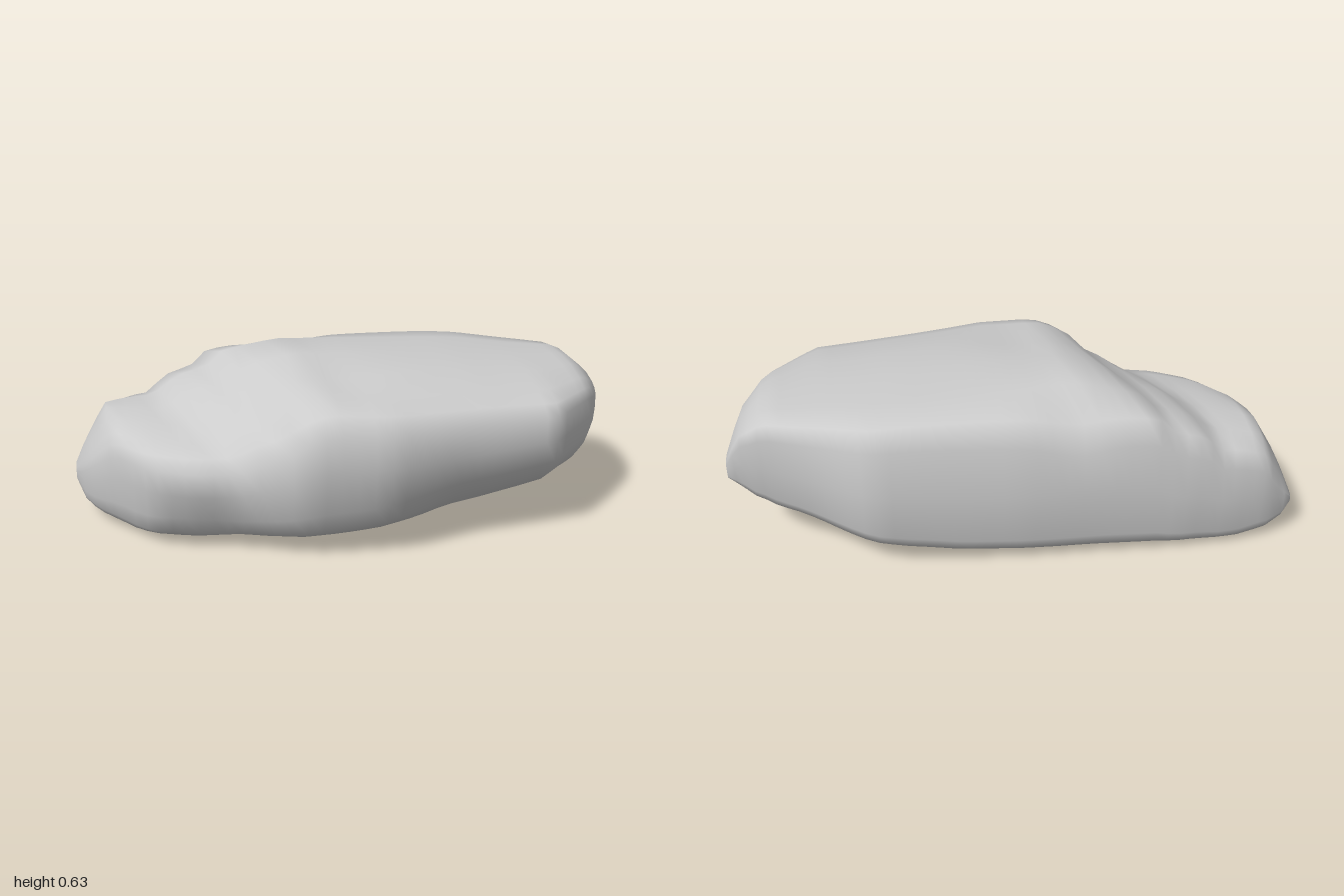
import * as THREE from 'three';

// Outline curves along the rock's length, as [x, value] pairs
const BACK = [[-1, -0.35], [-0.9, -0.4], [-0.75, -0.43], [-0.58, -0.45], [0, -0.46], [0.5, -0.44], [0.75, -0.34], [0.9, -0.27], [1, -0.2]];
const FRONT = [[-1, -0.24], [-0.96, -0.1], [-0.85, 0.05], [-0.74, 0.2], [-0.6, 0.28], [-0.45, 0.31], [-0.23, 0.43], [0.05, 0.46], [0.35, 0.41], [0.68, 0.37], [0.75, 0.3], [0.87, 0.18], [0.95, 0.04], [1, -0.1]];
const BOTTOM = [[-1, 0.12], [-0.97, 0.06], [-0.9, 0.02], [-0.8, 0], [0.2, 0.012], [0.4, 0.04], [0.6, 0.09], [0.75, 0.13], [0.83, 0.14], [0.92, 0.19], [1, 0.28]];
const TOP = [[-1, 0.18], [-0.96, 0.28], [-0.88, 0.42], [-0.7, 0.43], [-0.61, 0.5], [-0.5, 0.53], [-0.44, 0.59], [-0.25, 0.635], [0.4, 0.597], [0.86, 0.555], [0.95, 0.48], [1, 0.36]];

// Cross-section from the bottom, up the front, over the top, down the back:
// [z from -1 to 1, height on the left, height on the right]
const SECTION = [
  [-0.65, 0.02, 0.03], [-0.2, 0, 0], [0.25, 0.01, 0.04], [0.6, 0.06, 0.14], [0.8, 0.14, 0.26],
  [0.94, 0.3, 0.4], [1, 0.56, 0.59], [0.99, 0.76, 0.78], [0.88, 0.86, 0.86], [0.68, 0.92, 0.92],
  [0.3, 0.97, 0.98], [-0.1, 1, 1], [-0.55, 1, 1], [-0.87, 0.94, 0.97], [-0.96, 0.79, 0.84],
  [-1, 0.49, 0.52], [-0.97, 0.17, 0.2], [-0.89, 0.07, 0.1],
];

function sample(curve, x) {
  if (x <= curve[0][0]) return curve[0][1];
  for (let i = 1; i < curve.length; i++) {
    const [x0, v0] = curve[i - 1], [x1, v1] = curve[i];
    if (x <= x1) return v0 + (v1 - v0) * (x - x0) / (x1 - x0);
  }
  return curve[curve.length - 1][1];
}

const bump = (d, width) => Math.exp(-((d / width) ** 2));

function rockPoint(x, [u, hLeft, hRight]) {
  const { lerp, smoothstep } = THREE.MathUtils;
  const zb = sample(BACK, x), zf = sample(FRONT, x);
  let z = (zb + zf) / 2 + u * (zf - zb) / 2;
  const h = lerp(hLeft, hRight, smoothstep(x, -0.2, 0.4));

  // The step above the low lobe runs diagonally across the top
  const shear = 0.42 * (z + 0.3) * bump(x + 0.45, 0.3);
  const y0 = sample(BOTTOM, x), y1 = sample(TOP, x - Math.max(shear, -0.05));
  let y = y0 + h * (y1 - y0);

  if (h > 0.7) {
    // Hollow on the top, dip in the back rim, worn corner of the lobe
    y -= 0.03 * bump(x + 0.1, 0.18) * bump(z - 0.15, 0.12);
    y -= 0.05 * bump(x + 0.22, 0.13) * bump(z + 0.46, 0.13);
    y -= 0.05 * bump(x + 0.93, 0.1) * bump(z + 0.42, 0.12);
  }
  // Undercut in the lobe's front and hollow low on the front
  if (u > 0.5) {
    z -= 0.05 * bump(x + 0.6, 0.16) * bump(y - 0.12, 0.06);
    z -= 0.025 * bump(x - 0.3, 0.14) * bump(y - 0.17, 0.1);
  }
  // The back leans inwards below near the right end
  if (u < -0.5) z += 0.12 * (1 - h) * (zf - zb) * smoothstep(x, 0.5, 0.95);
  return [x, y, z];
}

function rockGeometry() {
  // Stations are packed more tightly towards both ends
  const stations = 44, n = SECTION.length;
  const positions = [], index = [];
  for (let i = 0; i <= stations; i++) {
    const t = i / stations * 2 - 1;
    const x = 0.6 * t + 0.4 * Math.sin(t * Math.PI / 2);
    for (const p of SECTION) positions.push(...rockPoint(x, p));
  }
  for (let i = 0; i < stations; i++) {
    for (let j = 0; j < n; j++) {
      const k = (j + 1) % n;
      const a = i * n + j, b = a + n, c = i * n + k, d = c + n;
      index.push(a, b, c, b, d, c);
    }
  }
  // Close both ends
  const last = stations * n, centre = positions.length / 3;
  positions.push(-1, 0.15, -0.295, 1, 0.32, -0.15);
  for (let j = 0; j < n; j++) {
    const k = (j + 1) % n;
    index.push(centre, j, k, centre + 1, last + k, last + j);
  }
  const geometry = new THREE.BufferGeometry();
  geometry.setAttribute('position', new THREE.Float32BufferAttribute(positions, 3));
  geometry.setIndex(index);
  geometry.computeVertexNormals();
  return geometry;
}

export function createModel() {
  const group = new THREE.Group();
  group.name = 'rock';
  const boulder = new THREE.Mesh(rockGeometry(), new THREE.MeshStandardMaterial({ color: 0xcccccc }));
  boulder.name = 'boulder';
  group.add(boulder);
  return group;
}
